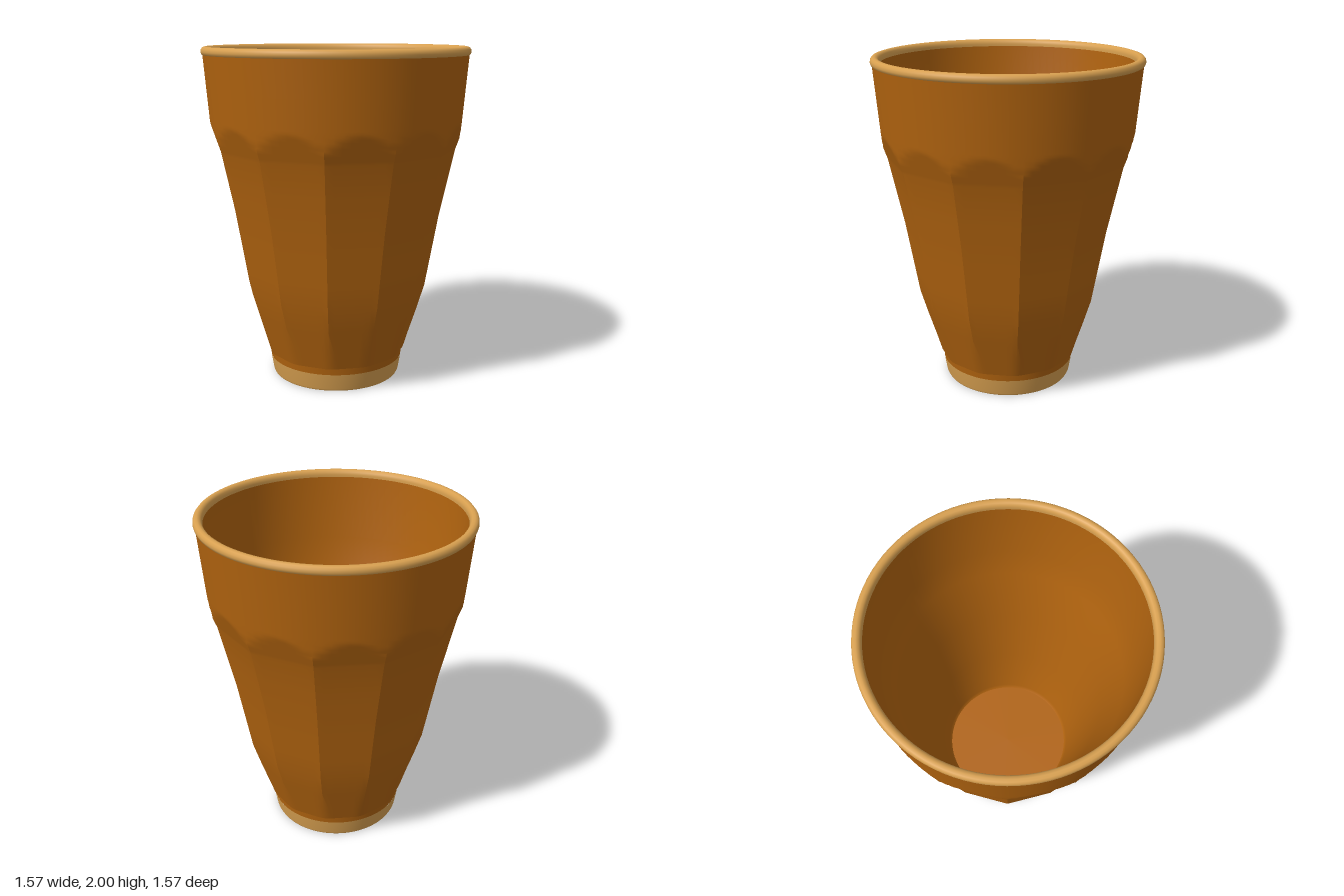
import * as THREE from 'three';
import { toCreasedNormals } from 'three/addons/utils/BufferGeometryUtils.js';

const FACETS = 12;
const SEGMENTS = FACETS * 8;

// Piecewise-linear lookup of radius by height
function radiusAt(table, y) {
  for (let i = 1; i < table.length; i++) {
    const [y0, r0] = table[i - 1], [y1, r1] = table[i];
    if (y <= y1) return r0 + (r1 - r0) * Math.max(0, (y - y0) / (y1 - y0));
  }
  return table[table.length - 1][1];
}

function lathe(points) {
  return new THREE.LatheGeometry(points.map(([r, y]) => new THREE.Vector2(r, y)), SEGMENTS);
}

export function createModel() {
  const glaze = new THREE.MeshStandardMaterial({ color: 0xb0630f });
  glaze.name = 'brown glaze';
  const trim = new THREE.MeshStandardMaterial({ color: 0xd8a050 });
  trim.name = 'tan trim';

  const cup = new THREE.Group();
  cup.name = 'cup';
  const add = (name, geometry, material) => {
    const mesh = new THREE.Mesh(geometry, material);
    mesh.name = name;
    cup.add(mesh);
  };

  // Outer wall: a round cone with twelve flat cuts that end in scallops
  const round = [[0.15, 0.424], [0.55, 0.552], [1.0, 0.63], [1.4, 0.729], [1.57, 0.745], [1.96, 0.777]];
  const cut = [[0.15, 0.415], [0.55, 0.53], [1.0, 0.605], [1.4, 0.688], [1.57, 0.746], [1.7, 0.81], [1.96, 0.9]];
  const heights = [0.15, 0.25, 0.4, 0.55, 0.7, 0.85, 1.0, 1.2, 1.4];
  for (let y = 1.42; y < 1.61; y += 0.015) heights.push(y);
  heights.push(1.75, 1.96);
  const wall = lathe(heights.map((y) => [radiusAt(round, y), y]));
  const pos = wall.attributes.position;
  const step = (2 * Math.PI) / FACETS;
  for (let i = 0; i < pos.count; i++) {
    const y = pos.getY(i);
    const angle = Math.atan2(pos.getX(i), pos.getZ(i));
    const local = angle - Math.round(angle / step) * step;
    const r = Math.min(radiusAt(round, y), radiusAt(cut, y) / Math.cos(local));
    pos.setX(i, r * Math.sin(angle));
    pos.setZ(i, r * Math.cos(angle));
  }
  add('facetedWall', toCreasedNormals(wall, 0.42), glaze);

  // Inner wall and floor
  add('innerWall', lathe([
    [0.735, 1.96], [0.703, 1.57], [0.655, 1.4], [0.565, 1.0], [0.49, 0.55], [0.41, 0.19], [0.395, 0.17],
  ]), glaze);
  const floor = new THREE.CircleGeometry(0.396, SEGMENTS).rotateX(-Math.PI / 2).translate(0, 0.17, 0);
  add('innerFloor', floor, glaze);

  // Rolled rim
  add('rim', lathe([
    [0.772, 1.95], [0.782, 1.955], [0.787, 1.97], [0.784, 1.985], [0.775, 1.996], [0.761, 2.0],
    [0.747, 1.996], [0.738, 1.985], [0.734, 1.97], [0.735, 1.95],
  ]), trim);

  // Plain collar between the facets and the foot
  add('collar', toCreasedNormals(lathe([[0.408, 0.105], [0.413, 0.15], [0.424, 0.152]]), 0.6), glaze);

  // Foot band and closed underside
  add('foot', lathe([[0.388, 0], [0.394, 0.012], [0.41, 0.108]]), trim);
  add('underside', new THREE.CircleGeometry(0.388, SEGMENTS).rotateX(Math.PI / 2), trim);

  return cup;
}
